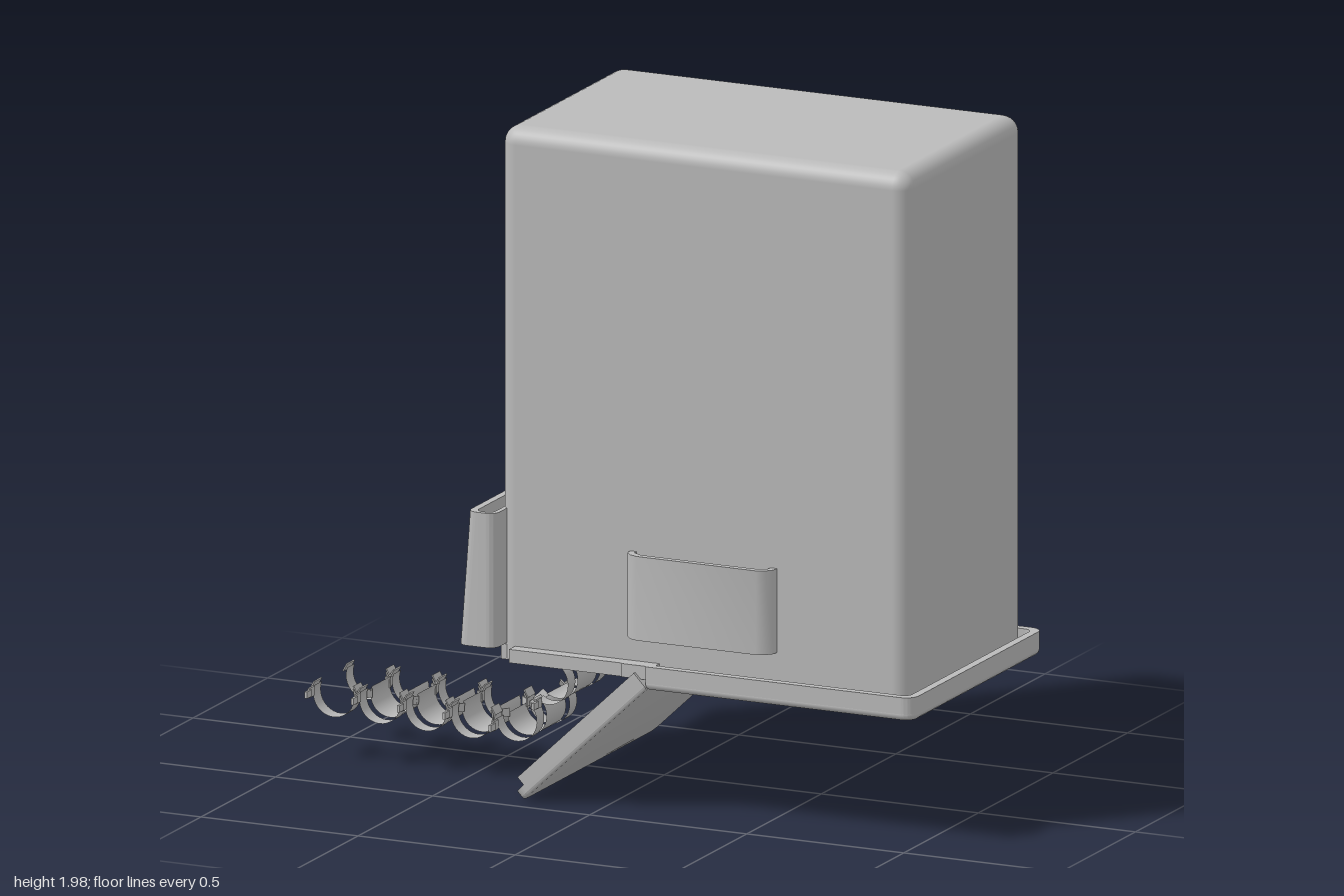
import * as THREE from 'three';
import { toCreasedNormals } from 'three/addons/utils/BufferGeometryUtils.js';
import { RoundedBoxGeometry } from 'three/addons/geometries/RoundedBoxGeometry.js';

const grey = new THREE.MeshStandardMaterial({ color: 0xbababa, side: THREE.DoubleSide });
grey.name = 'grey metal';

function add(parent, name, geo, x = 0, y = 0, z = 0) {
  const m = new THREE.Mesh(geo, grey);
  m.name = name;
  m.position.set(x, y, z);
  parent.add(m);
  return m;
}

function box(parent, name, x0, x1, y0, y1, z0, z1) {
  return add(parent, name, new THREE.BoxGeometry(x1 - x0, y1 - y0, z1 - z0),
    (x0 + x1) / 2, (y0 + y1) / 2, (z0 + z1) / 2);
}

// Plan outline, x0..x1 by +-z, with separate radii for the two ends
function outline(x0, x1, z, r0, r1, C = THREE.Shape) {
  const s = new C();
  s.moveTo(x0 + r0, -z);
  s.lineTo(x1 - r1, -z);
  if (r1) s.absarc(x1 - r1, -z + r1, r1, -Math.PI / 2, 0);
  s.lineTo(x1, z - r1);
  if (r1) s.absarc(x1 - r1, z - r1, r1, 0, Math.PI / 2);
  s.lineTo(x0 + r0, z);
  if (r0) s.absarc(x0 + r0, z - r0, r0, Math.PI / 2, Math.PI);
  s.lineTo(x0, -z + r0);
  if (r0) s.absarc(x0 + r0, -z + r0, r0, Math.PI, Math.PI * 1.5);
  return s;
}

// Raise a plan shape along y
function raise(shape, y0, y1, bevel = 0) {
  const g = new THREE.ExtrudeGeometry(shape, {
    depth: y1 - y0 - 2 * bevel, curveSegments: 8, bevelEnabled: bevel > 0,
    bevelSize: bevel, bevelThickness: bevel, bevelOffset: -bevel, bevelSegments: 3,
  });
  g.rotateX(-Math.PI / 2);
  g.translate(0, y0 + bevel, 0);
  return toCreasedNormals(g, 0.55);
}

// Rounded box shell without its bottom
function openShell(w, h, d, r) {
  const src = new RoundedBoxGeometry(w, h + r, d, 4, r);
  const floor = src.groups[3];
  const g = new THREE.BufferGeometry();
  for (const key of ['position', 'normal']) {
    const a = Array.from(src.attributes[key].array);
    a.splice(floor.start * 3, floor.count * 3);
    g.setAttribute(key, new THREE.Float32BufferAttribute(a, 3));
  }
  g.translate(0, (h - r) / 2, 0);
  const p = g.attributes.position, n = g.attributes.normal;
  for (let i = 0; i < p.count; i++) {
    if (p.getY(i) < 0.001) {
      p.setY(i, 0);
      const l = Math.hypot(n.getX(i), n.getZ(i)) || 1;
      n.setXYZ(i, n.getX(i) / l, 0, n.getZ(i) / l);
    }
  }
  return g;
}

// One half-open clip band around the z axis, opening towards angle "open"
function band(parent, name, c, open, z0, z1, r, gap) {
  const g = new THREE.CylinderGeometry(r, r, z1 - z0, 22, 1, true, gap / 2, Math.PI * 2 - gap);
  g.rotateX(Math.PI / 2);
  // cylinder angle 0 lies on -y after the turn
  g.rotateZ(open + Math.PI / 2);
  return add(parent, name, g, c[0], c[1], (z0 + z1) / 2);
}

export function createModel() {
  const root = new THREE.Group();
  root.name = 'container';

  // Container shell and side rails along its opening
  add(root, 'body', openShell(1.3, 1.58, 0.78, 0.05), 0.31, 0.41, 0);
  for (const s of [-1, 1]) {
    box(root, 'sideRail', -0.29, 0.07, 0.41, 0.45, s * 0.41 - 0.02, s * 0.41 + 0.02);
    box(root, 'hingeBlock', 0.07, 0.16, 0.41, 0.45, s * 0.41 - 0.025, s * 0.41 + 0.025);
  }
  box(root, 'openingLip', -0.34, -0.29, 0.405, 0.45, -0.38, 0.38);

  // Fixed base tray
  const tray = new THREE.Group();
  tray.name = 'baseTray';
  root.add(tray);
  add(tray, 'trayFloor', raise(outline(0.15, 1, 0.44, 0, 0.04), 0.38, 0.415, 0.015));
  const rim = outline(0.15, 1, 0.44, 0, 0.04);
  rim.holes.push(outline(0.17, 0.975, 0.415, 0, 0.025, THREE.Path));
  add(tray, 'trayRim', raise(rim, 0.395, 0.45));

  // Hinged flap hanging open
  const flap = new THREE.Group();
  flap.name = 'flap';
  flap.position.set(0.155, 0.385, 0);
  flap.rotation.z = 0.76;
  root.add(flap);
  add(flap, 'flapFloor', raise(outline(-0.555, 0, 0.445, 0.04, 0), 0, 0.022, 0.01));
  const lip = outline(-0.555, 0, 0.445, 0.04, 0);
  lip.holes.push(outline(-0.535, -0.02, 0.425, 0.025, 0, THREE.Path));
  add(flap, 'flapLip', raise(lip, 0.011, 0.032));
  for (const s of [-1, 1]) {
    box(flap, 'flapSide', -0.51, 0, 0.02, 0.06, s * 0.435 - 0.01, s * 0.435 + 0.01);
  }

  // Open sleeve on each broad side
  const sleeve = new THREE.Shape([
    [-0.235, 0.38], [-0.232, 0.41], [-0.215, 0.43], [-0.19, 0.44], [0.19, 0.44],
    [0.215, 0.43], [0.232, 0.41], [0.235, 0.38], [0.215, 0.38], [0.212, 0.405],
    [0.185, 0.42], [-0.185, 0.42], [-0.212, 0.405], [-0.215, 0.38],
  ].map(([x, z]) => new THREE.Vector2(x, z)));
  for (const a of [0, Math.PI]) {
    add(root, 'sideSleeve', raise(sleeve, 0.525, 0.775), 0.31, 0, 0).rotation.y = a;
  }

  // Tapered end bracket, its outer wall leaning in towards the top
  const loop = outline(-0.44, -0.32, 0.46, 0.03, 0.03);
  loop.holes.push(outline(-0.418, -0.335, 0.445, 0.02, 0.02, THREE.Path));
  const bracket = raise(loop, 0.455, 0.855);
  const p = bracket.attributes.position;
  for (let i = 0; i < p.count; i++) {
    if (p.getX(i) < -0.38) p.setX(i, p.getX(i) + 0.03 * (p.getY(i) - 0.455) / 0.4);
  }
  add(root, 'endBracket', bracket);

  // Belt of clips: outer bands on each seat, centre band reaching back to the next
  const up = Math.PI / 2;
  const seats = [
    [-0.934, 0.198, up], [-0.787, 0.195, up], [-0.64, 0.19, up], [-0.495, 0.185, up],
    [-0.352, 0.192, up + 0.45], [-0.253, 0.312, up + 1.35], [-0.225, 0.455, up + 1.4],
  ];
  const belt = new THREE.Group();
  belt.name = 'linkBelt';
  root.add(belt);
  seats.forEach((c, i) => {
    const clip = new THREE.Group();
    clip.name = 'clip';
    belt.add(clip);
    band(clip, 'outerBand', c, c[2], -0.02, 0.03, 0.065, 2.4);
    band(clip, 'outerBand', c, c[2], 0.2, 0.25, 0.065, 2.4);
    if (i) band(clip, 'centreBand', c, c[2], 0.05, 0.18, 0.063, 2.4);
    // curled ends and side tab
    for (const s of [-1, 1]) {
      const a = c[2] + s * 1.25;
      for (const z of [0.005, 0.225]) {
        const curl = add(clip, 'curledEnd', new THREE.BoxGeometry(0.026, 0.004, 0.05),
          c[0] + 0.072 * Math.cos(a), c[1] + 0.072 * Math.sin(a), z);
        curl.rotation.z = c[2] - s * 0.5;
      }
    }
    const t = c[2] + 1.45;
    const tx = c[0] + 0.063 * Math.cos(t), ty = c[1] + 0.063 * Math.sin(t);
    box(clip, 'sideTab', tx - 0.003, tx + 0.003, ty - 0.014, ty + 0.014, 0.25, 0.285);
    box(clip, 'tabTip', tx - 0.001, tx + 0.007, ty - 0.01, ty + 0.01, 0.28, 0.31);
    // slanted bridges to the next seat
    const n = seats[i + 1];
    if (!n) return;
    const mx = (c[0] + n[0]) / 2, my = (c[1] + n[1]) / 2;
    for (const [z, s] of [[0.042, 1], [0.188, -1]]) {
      const bridge = new THREE.Group();
      bridge.name = 'bridge';
      bridge.position.set(mx, my, z);
      bridge.rotation.z = Math.atan2(n[1] - c[1], n[0] - c[0]);
      add(bridge, 'bridgePlate', new THREE.BoxGeometry(0.04, 0.025, 0.004)).rotation.y = -s * 0.8;
      clip.add(bridge);
    }
  });
  return root;
}
